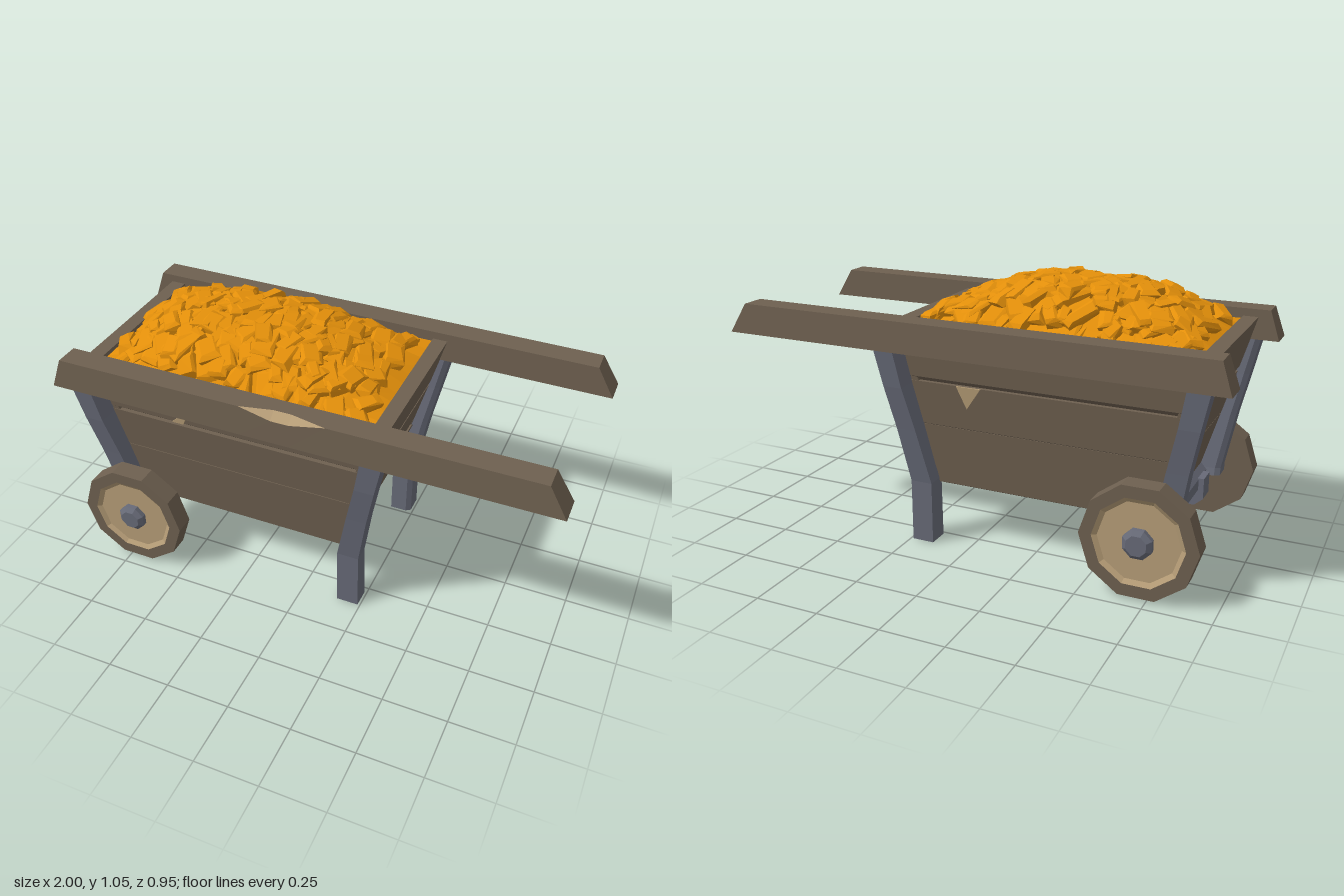
import * as THREE from 'three';
import { mergeGeometries } from 'three/addons/utils/BufferGeometryUtils.js';
import { ConvexGeometry } from 'three/addons/geometries/ConvexGeometry.js';

const material = (name, color) => {
  const m = new THREE.MeshStandardMaterial({ color, flatShading: true });
  m.name = name;
  return m;
};

// Solid through a stack of matching point loops, turned outward automatically
function loft(loops) {
  const tris = [], n = loops[0].length, last = loops[loops.length - 1];
  for (let k = 0; k + 1 < loops.length; k++) {
    for (let i = 0; i < n; i++) {
      const j = (i + 1) % n, A = loops[k], B = loops[k + 1];
      tris.push([A[i], A[j], B[j]], [A[i], B[j], B[i]]);
    }
  }
  for (let i = 1; i + 1 < n; i++) {
    tris.push([loops[0][0], loops[0][i + 1], loops[0][i]], [last[0], last[i], last[i + 1]]);
  }
  const v = (p) => new THREE.Vector3(...p);
  const volume = tris.reduce((s, [a, b, c]) => s + v(a).dot(v(b).cross(v(c))), 0);
  const out = tris.flatMap(([a, b, c]) => (volume < 0 ? [...a, ...c, ...b] : [...a, ...b, ...c]));
  const g = new THREE.BufferGeometry();
  g.setAttribute('position', new THREE.Float32BufferAttribute(out, 3));
  g.computeVertexNormals();
  return g;
}

// Faceted turned part with its axis along z
function turned(points, sides, phase) {
  const g = new THREE.LatheGeometry(points.map((p) => new THREE.Vector2(...p)), sides, phase)
    .toNonIndexed();
  g.rotateX(Math.PI / 2);
  g.computeVertexNormals();
  return g;
}

// Thin plate whose corners are moved onto a wall by a rule
function plate(points, rule) {
  const shape = new THREE.Shape(points.map((p) => new THREE.Vector2(...p)));
  const g = new THREE.ExtrudeGeometry(shape, { depth: 0.007, bevelEnabled: false });
  const p = g.attributes.position;
  for (let i = 0; i < p.count; i++) p.setXYZ(i, ...rule(p.getX(i), p.getY(i), p.getZ(i)));
  g.computeVertexNormals();
  return g;
}

export function createModel() {
  const wood = material('dark wood', 0x6e6050);
  const fresh = material('bare wood', 0xb69d77);
  const metal = material('grey iron', 0x676a77);
  const gold = material('gold', 0xe38f0a);
  const model = new THREE.Group();
  model.name = 'cart';
  const add = (name, geometry, mat, parent = model) => {
    const mesh = new THREE.Mesh(geometry, mat);
    mesh.name = name;
    parent.add(mesh);
    return mesh;
  };

  // Flaring tub: half sizes by height, about its own centre
  const cx = -0.29;
  const hx = (y) => 0.445 + (y - 0.24) * 0.286;
  const hz = (y) => 0.285 + (y - 0.24) * 0.095;
  const rect = (y, x0, x1, z0, z1) => [[x0, y, z0], [x1, y, z0], [x1, y, z1], [x0, y, z1]];
  const floor = (y) => rect(y, cx - hx(y) + 0.03, cx + hx(y) - 0.03, -hz(y) + 0.03, hz(y) - 0.03);
  add('floor', loft([floor(0.238), floor(0.28)]), wood);
  // Planks: bottom, top, and the height of the undercut along the lower edge
  for (const [y0, y1, cut] of [[0.236, 0.478, 0.002], [0.478, 0.652, 0.003], [0.652, 0.87, 0.018]]) {
    for (const s of [-1, 1]) {
      const end = (y, inset) => rect(y, cx + s * (hx(y) - 0.06), cx + s * (hx(y) - inset),
        -hz(y), hz(y));
      const side = (y, inset) => rect(y, cx - hx(y) + 0.01, cx + hx(y) - 0.01,
        s * (hz(y) - 0.05), s * (hz(y) + 0.002 - inset));
      const top = Math.min(y1, 0.84);
      add('endPlank', loft([end(y0, cut), end(y0 + cut, 0), end(y1, 0)]), wood);
      add('sidePlank', loft([side(y0, cut), side(y0 + cut, 0), side(top, 0)]), wood);
    }
  }

  // Splits and splinters in the planks
  add('endSplit', plate(
    [[-0.28, 0.46], [0.03, 0.42], [0.29, 0.455], [0.25, 0.485], [0.02, 0.44], [-0.25, 0.485]],
    (a, y, d) => [cx + hx(y) + d, y, -a]), wood);
  add('frontSplinter', plate([[-0.55, 0.667], [-0.5, 0.667], [-0.475, 0.725], [-0.4, 0.79], [-0.42, 0.79]],
    (x, y, d) => [x, y, hz(y) + d]), fresh);
  add('backSplinter', plate([[-0.01, 0.565], [0.05, 0.652], [-0.05, 0.652]],
    (x, y, d) => [-x, y, -hz(y) - d]), fresh);

  // Long handles with slanted ends; the front one is chipped, the back one a little askew
  for (const s of [-1, 1]) {
    const section = (top, bottom, chip) => [
      [bottom, 0.782, 0.328], [bottom, 0.782, 0.438],
      [top, 0.9 - chip, 0.428 + chip * 0.09], [top, 0.9, 0.428 - chip],
      [top, 0.9, 0.333]].map(([x, y, z]) => [x, y, s * z + (s < 0 ? 0.004 * (1 + x) : 0)]);
    const chip = s > 0 ? 0.028 : 0;
    add('handle', loft([section(-0.96, -1, 0), section(-0.2, -0.2, 0), section(-0.07, -0.07, chip),
      section(0, 0, chip), section(0.14, 0.14, 0), section(0.93, 1, 0)]), wood);
  }
  const chipFace = new THREE.BufferGeometry();
  chipFace.setAttribute('position', new THREE.Float32BufferAttribute([
    [-0.2, 0.902, 0.43], [-0.07, 0.874, 0.433], [-0.07, 0.902, 0.402], [0, 0.874, 0.433],
    [0, 0.902, 0.402], [0.14, 0.902, 0.43]].flat(), 3));
  chipFace.setIndex([0, 1, 2, 1, 3, 2, 2, 3, 4, 3, 5, 4]);
  chipFace.computeVertexNormals();
  add('handleChip', chipFace, fresh);

  // Bent corner posts; the right pair reaches the ground as legs
  const posts = [
    [0.8, 0.27, 0.352, 0.335, 0.423], [0.64, 0.24, 0.317, 0.32, 0.408],
    [0.47, 0.2, 0.28, 0.298, 0.382], [0.25, 0.152, 0.24, 0.27, 0.352],
    [0, 0.152, 0.24, 0.263, 0.35]];
  for (const end of [-1, 1]) {
    for (const s of [-1, 1]) {
      const loops = posts.map(([y, x0, x1, z0, z1]) =>
        [[x0, z0], [x1 - 0.02, z0], [x1, z0 + 0.014], [x1, z1], [x0, z1]].map(([x, z]) =>
          [end > 0 ? x : 2 * cx - x, end < 0 && y === 0 ? 0.22 : y, s * z]));
      add(end > 0 ? 'leg' : 'cornerPost', loft(loops), metal);
    }
  }

  // Axle with its two brackets
  const axleX = -0.713;
  const axle = add('axle', turned([[0, -0.475], [0.04, -0.475], [0.058, -0.46], [0.058, 0.46],
    [0.04, 0.475], [0, 0.475]], 8, Math.PI / 8), metal);
  axle.position.set(axleX, 0.219, 0);
  for (const s of [-1, 1]) {
    const bracket = (z) => [[-0.075, 0.245], [-0.075, 0.16], [-0.04, 0.13], [0.04, 0.13],
      [0.075, 0.16], [0.075, 0.245]].map(([x, y]) => [axleX + x, y, s * z]);
    add('axleBracket', loft([bracket(0.15), bracket(0.235)]), metal);

    // Ten-sided wheel: dark rim, pale sunken face
    const wheel = new THREE.Group();
    wheel.name = 'wheel';
    wheel.position.set(axleX, 0.22, s * 0.375);
    if (s < 0) wheel.rotation.y = Math.PI;
    add('rim', turned([[0, 0], [0.22, 0], [0.22, 0.078], [0.172, 0.078]], 10, Math.PI / 2), wood, wheel);
    add('wheelFace', turned([[0.172, 0.078], [0.154, 0.066], [0, 0.066]], 10, Math.PI / 2), fresh, wheel);
    model.add(wheel);
  }

  // Heap of gold: a broad mound, steeper at the left, covered with faceted slabs
  let seed = 7;
  const rand = () => {
    seed = (seed * 16807) % 2147483647;
    return seed / 2147483647;
  };
  const spread = (r) => (rand() * 2 - 1) * r;
  const height = (x, z) => {
    const u = Math.min(1, x < 0.03 ? (0.03 - x) / 0.58 : (x - 0.03) / 0.52);
    const w = Math.min(1, Math.abs(z - 0.015) / 0.315);
    return 0.86 + 0.158 * (1 - u ** (x < 0.03 ? 3.2 : 1.8)) * (1 - w ** 3.2);
  };
  const mound = new THREE.PlaneGeometry(1.13, 0.66, 16, 10).rotateX(-Math.PI / 2);
  const mp = mound.attributes.position;
  for (let i = 0; i < mp.count; i++) {
    mp.setY(i, height(mp.getX(i), mp.getZ(i)) - 0.004 + spread(0.006));
  }
  mound.computeVertexNormals();
  add('goldMound', mound, gold).position.x = cx;

  const slabs = [];
  const up = new THREE.Vector3(0, 1, 0);
  for (let k = 0; k < 180; k++) {
    // Scatter evenly over a jittered grid of 15 by 12
    const x = ((k % 15) / 14 - 0.5) * 0.96 + spread(0.03);
    const z = (Math.floor(k / 15) / 11 - 0.5) * 0.56 + spread(0.025);
    const l = 0.036 + rand() * 0.034, w = 0.022 + rand() * 0.022, h = 0.011 + rand() * 0.012;
    const corners = [];
    for (const sx of [-1, 1]) for (const sz of [-1, 1]) {
      corners.push(new THREE.Vector3(sx * l + spread(0.014), -h, sz * w + spread(0.01)));
      corners.push(new THREE.Vector3(sx * l + spread(0.014), h * 0.4, sz * w + spread(0.01)));
      corners.push(new THREE.Vector3(sx * l * 0.75 + spread(0.01), h, sz * w * 0.7 + spread(0.006)));
    }
    const normal = new THREE.Vector3(
      (height(x - 0.03, z) - height(x + 0.03, z)) / 0.08 + spread(0.15), 1,
      (height(x, z - 0.03) - height(x, z + 0.03)) / 0.08 + spread(0.15)).normalize();
    const g = new ConvexGeometry(corners);
    g.rotateY(Math.PI / 2 + spread(0.7));
    g.applyQuaternion(new THREE.Quaternion().setFromUnitVectors(up, normal));
    g.translate(cx + x, height(x, z) + 0.006 + spread(0.01), z);
    // Keep the slabs inside the tub
    const p = g.attributes.position;
    for (let i = 0; i < p.count; i++) {
      p.setX(i, THREE.MathUtils.clamp(p.getX(i), cx - 0.56, cx + 0.56));
      p.setZ(i, THREE.MathUtils.clamp(p.getZ(i), -0.335, 0.335));
    }
    slabs.push(g);
  }
  add('goldNuggets', mergeGeometries(slabs), gold);
  return model;
}
